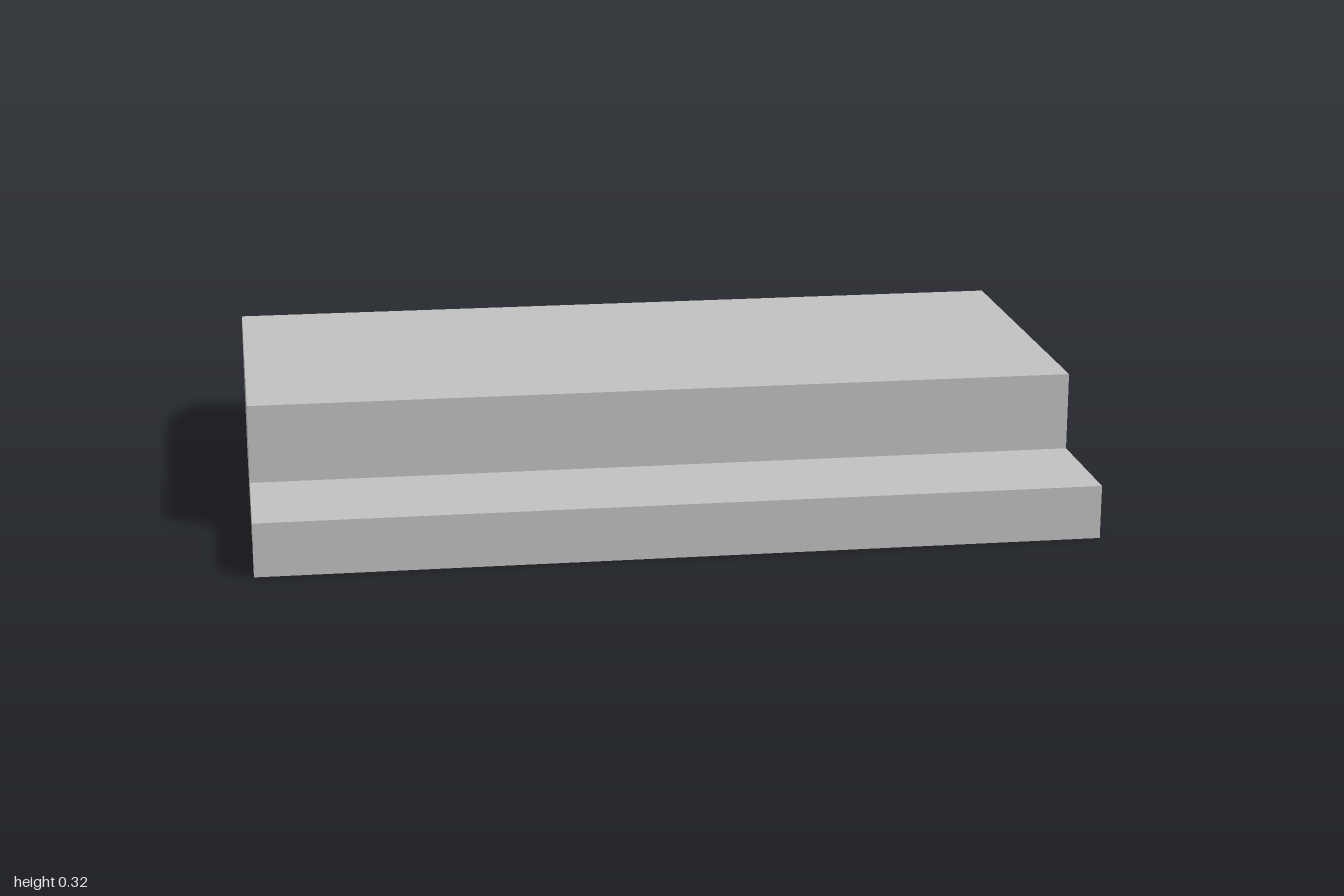
import * as THREE from 'three';
import { toCreasedNormals } from 'three/addons/utils/BufferGeometryUtils.js';

export function createModel() {
  const group = new THREE.Group();
  group.name = 'moulding';
  const grey = new THREE.MeshStandardMaterial({ color: 0xc0c0c0 });
  grey.name = 'light grey';

  // Side profile: horizontal runs from front (negative) to back (positive)
  const p = new THREE.Shape();
  p.moveTo(-0.675, 0);
  p.lineTo(-0.51, 0);
  // drip groove with a small rounded lip
  p.lineTo(-0.51, 0.033);
  p.lineTo(-0.422, 0.033);
  p.lineTo(-0.422, 0.01);
  p.absarc(-0.412, 0.01, 0.01, Math.PI, Math.PI * 1.5, false);
  // underside, rounded nose and upper slope
  p.lineTo(0.355, 0);
  p.absarc(0.648, 0.2005, 0.027, -Math.PI / 3, Math.PI / 3, false);
  p.lineTo(0.495, 0.32);
  // top and front step
  p.lineTo(-0.365, 0.32);
  p.lineTo(-0.365, 0.13);
  p.lineTo(-0.675, 0.13);
  p.closePath();

  // Sweep the profile across the full width
  let geometry = new THREE.ExtrudeGeometry(p, { depth: 2, bevelEnabled: false, curveSegments: 24 });
  geometry.translate(0, 0, -1);
  geometry.rotateY(Math.PI / 2);
  geometry = toCreasedNormals(geometry, 0.35);

  const body = new THREE.Mesh(geometry, grey);
  body.name = 'profiledBody';
  group.add(body);
  return group;
}
